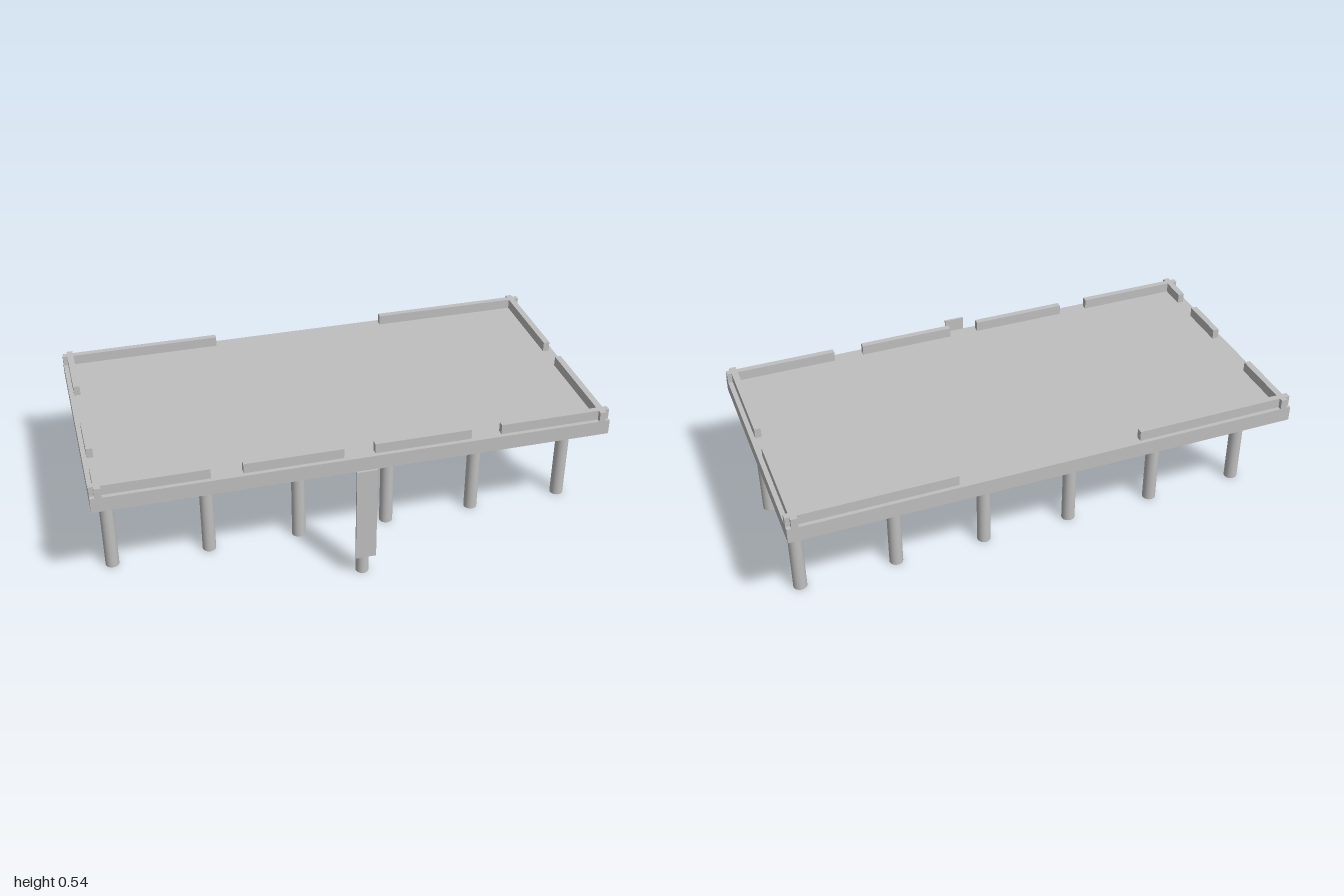
import * as THREE from 'three';

export function createModel() {
  const group = new THREE.Group();
  const grey = new THREE.MeshStandardMaterial({ color: 0xbfbfbf });
  grey.name = 'light grey';

  function add(name, geometry, x, y, z) {
    const mesh = new THREE.Mesh(geometry, grey);
    mesh.name = name;
    mesh.position.set(x, y, z);
    group.add(mesh);
  }
  // Box given by its limits on each axis
  function box(name, x0, x1, y0, y1, z0, z1) {
    add(name, new THREE.BoxGeometry(x1 - x0, y1 - y0, z1 - z0),
      (x0 + x1) / 2, (y0 + y1) / 2, (z0 + z1) / 2);
  }
  // Upright round post standing on the ground
  function post(name, x, z, radius, height) {
    add(name, new THREE.CylinderGeometry(radius, radius, height, 24), x, height / 2, z);
  }

  const left = 1, front = 0.456, back = -0.544;
  const deckBottom = 0.44, deckTop = 0.5, railTop = 0.54;

  // Flat deck
  box('deck', -left, left, deckBottom, deckTop, back, front);

  // Low rails along the front and back, mirrored about the middle
  for (const side of [-1, 1]) {
    const railX = (name, a, b, z0, z1) =>
      box(name, Math.min(side * a, side * b), Math.max(side * a, side * b), deckTop, railTop, z0, z1);
    railX('frontRail', 0.06, 0.44, 0.415, 0.439);
    railX('frontCornerRail', 0.56, left, 0.415, 0.439);
    railX('backRail', 0.36, left, -0.528, -0.504);
  }

  // Low rails along the two ends, crossing the others at the corners
  for (const [z0, z1] of [[back, -0.105], [0.013, front]])
    box('leftRail', 0.957, 0.982, deckTop, railTop, z0, z1);
  for (const [z0, z1] of [[back, -0.257], [0, 0.195], [0.31, front]])
    box('rightRail', -0.982, -0.957, deckTop, railTop, z0, z1);

  // Two rows of six supports, stopping short of the deck
  for (const z of [0.207, -0.295])
    for (const x of [-0.934, -0.549, -0.183, 0.183, 0.549, 0.934])
      post('support', x, z, 0.027, 0.39);

  // Taller post and upright panel at the front
  post('frontPost', 0, 0.493, 0.025, deckBottom);
  box('frontPanel', -0.04, 0.04, 0.1, 0.5, 0.535, 0.544);

  return group;
}
